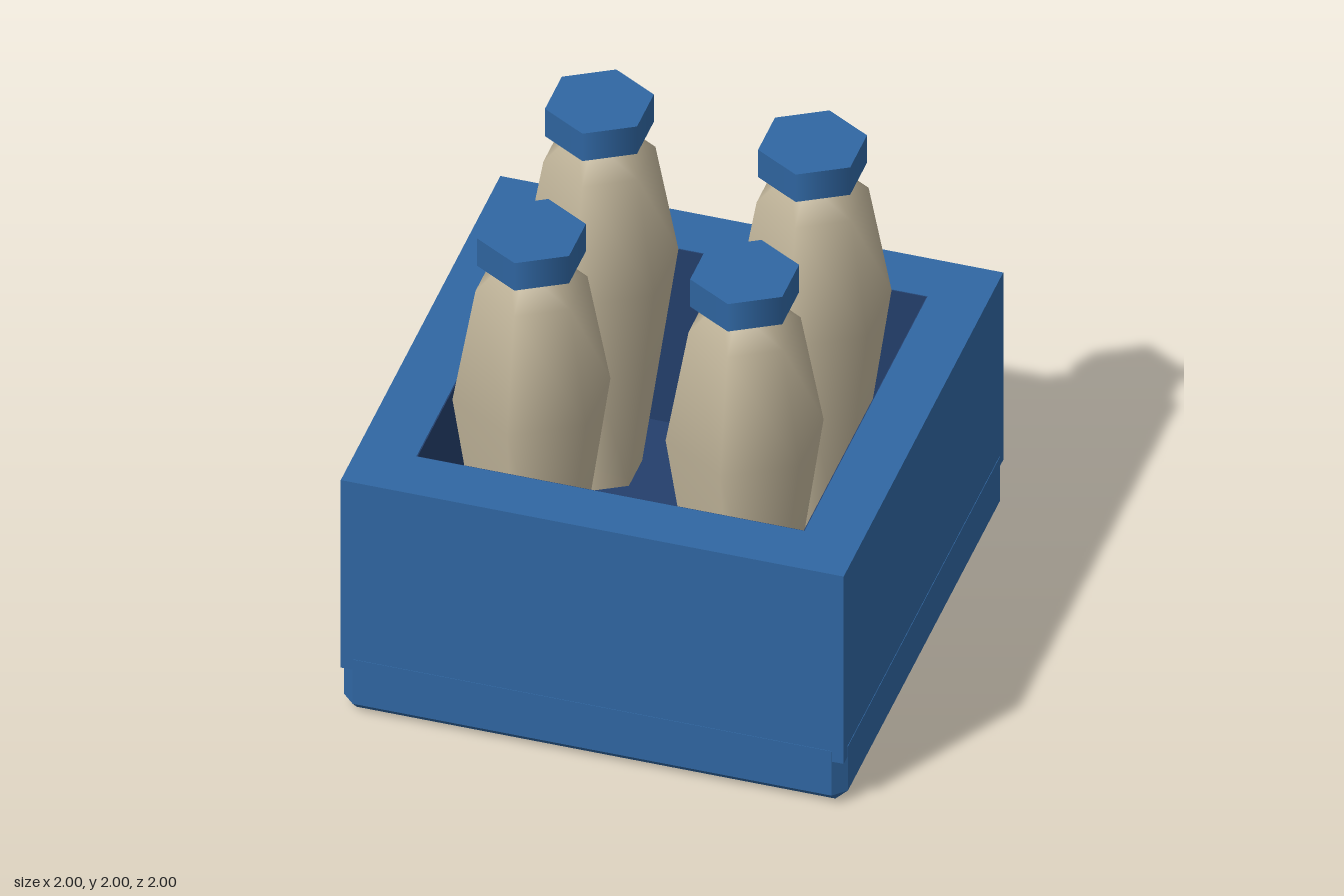
import * as THREE from 'three';
import { ConvexGeometry } from 'three/addons/geometries/ConvexGeometry.js';

export function createModel() {
  const crateBlue = new THREE.MeshStandardMaterial({ color: 0x3067a3 });
  const liningNavy = new THREE.MeshStandardMaterial({ color: 0x243f6c });
  const bottleCream = new THREE.MeshStandardMaterial({ color: 0xc2b69b });

  const model = new THREE.Group();
  model.name = 'bottleCrate';

  const add = (parent, name, geometry, material, x = 0, y = 0, z = 0) => {
    const mesh = new THREE.Mesh(geometry, material);
    mesh.name = name;
    mesh.position.set(x, y, z);
    parent.add(mesh);
    return mesh;
  };

  // Base tray with cut vertical corners and a chamfered bottom edge
  const corners = [];
  for (const sx of [-1, 1]) {
    for (const sz of [-1, 1]) {
      corners.push(new THREE.Vector3(sx * 0.95, 0, sz * 0.95));
      for (const y of [0.05, 0.26]) {
        corners.push(new THREE.Vector3(sx, y, sz * 0.95));
        corners.push(new THREE.Vector3(sx * 0.95, y, sz));
      }
    }
  }
  add(model, 'base', new ConvexGeometry(corners), crateBlue);

  // Thick walls: full-width front and back, shorter sides between them
  const inner = 0.77, outer = 0.998, bottom = 0.21, top = 1.1;
  const height = top - bottom, midY = (top + bottom) / 2;
  const thick = outer - inner, mid = (outer + inner) / 2;
  for (const s of [1, -1]) {
    add(model, s > 0 ? 'frontWall' : 'backWall',
      new THREE.BoxGeometry(outer * 2, height, thick), crateBlue, 0, midY, s * mid);
    add(model, s > 0 ? 'leftWall' : 'rightWall',
      new THREE.BoxGeometry(thick, height, inner * 2), crateBlue, s * mid, midY, 0);
  }

  // Dark lining on the inside faces and floor
  const liningHeight = top - 0.26 - 0.002, liningY = 0.26 + liningHeight / 2;
  for (const s of [1, -1]) {
    add(model, 'innerLining', new THREE.BoxGeometry(inner * 2, liningHeight, 0.004),
      liningNavy, 0, liningY, s * (inner - 0.002));
    add(model, 'innerLining', new THREE.BoxGeometry(0.004, liningHeight, inner * 2),
      liningNavy, s * (inner - 0.002), liningY, 0);
  }
  add(model, 'floor', new THREE.BoxGeometry(inner * 2, 0.008, inner * 2), liningNavy, 0, 0.264, 0);

  // Four six-sided bottles with caps
  const profile = [[0.165, 0.265], [0.306, 1.25], [0.217, 1.75], [0.09, 1.875]]
    .map(([r, y]) => new THREE.Vector2(r, y));
  const bottleGeometry = new THREE.LatheGeometry(profile, 6);
  const capGeometry = new THREE.CylinderGeometry(0.211, 0.211, 0.13, 6);
  for (const sx of [-1, 1]) {
    for (const sz of [-1, 1]) {
      const bottle = new THREE.Group();
      bottle.name = 'bottle';
      bottle.position.set(sx * 0.423, 0, sz * 0.425);
      add(bottle, 'bottleBody', bottleGeometry, bottleCream);
      add(bottle, 'bottleCap', capGeometry, crateBlue, 0, 1.935, 0);
      model.add(bottle);
    }
  }
  return model;
}
